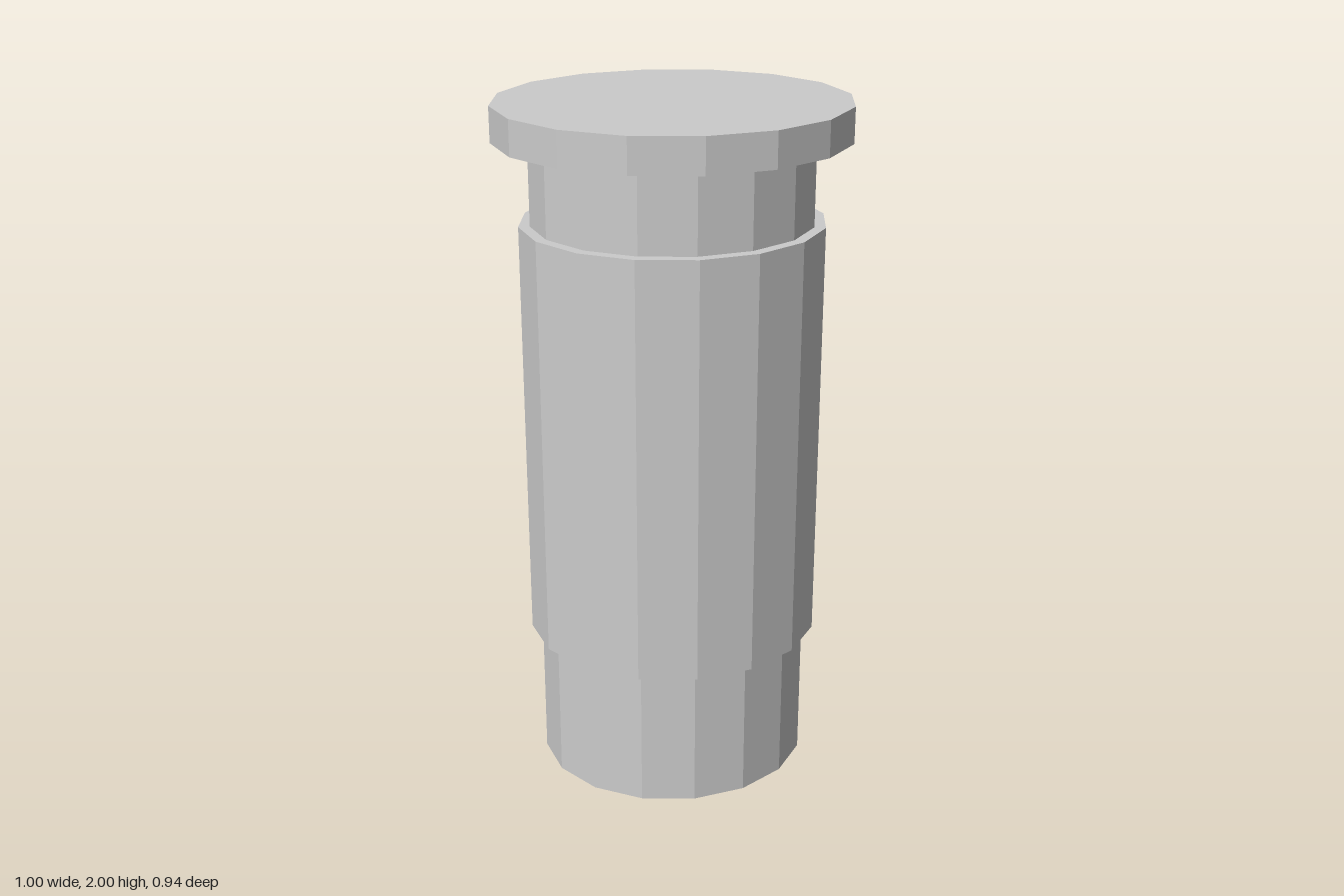
import * as THREE from 'three';

const SIDES = 16;

export function createModel() {
  const group = new THREE.Group();
  group.name = 'flangedColumn';
  const material = new THREE.MeshStandardMaterial({ color: 0xcccccc, flatShading: true });

  // Upright faceted drum with an oval cross-section, from y0 to y1
  function drum(name, rx, rz, y0, y1) {
    const geometry = new THREE.CylinderGeometry(1, 1, y1 - y0, SIDES);
    geometry.scale(rx, 1, rz);
    geometry.translate(0, (y0 + y1) / 2, 0);
    const mesh = new THREE.Mesh(geometry, material);
    mesh.name = name;
    group.add(mesh);
  }

  drum('shaft', 0.4, 0.37, 0, 1.9);
  drum('sleeve', 0.432, 0.402, 0.425, 1.665);
  drum('topFlange', 0.5, 0.47, 1.9, 2);

  return group;
}
